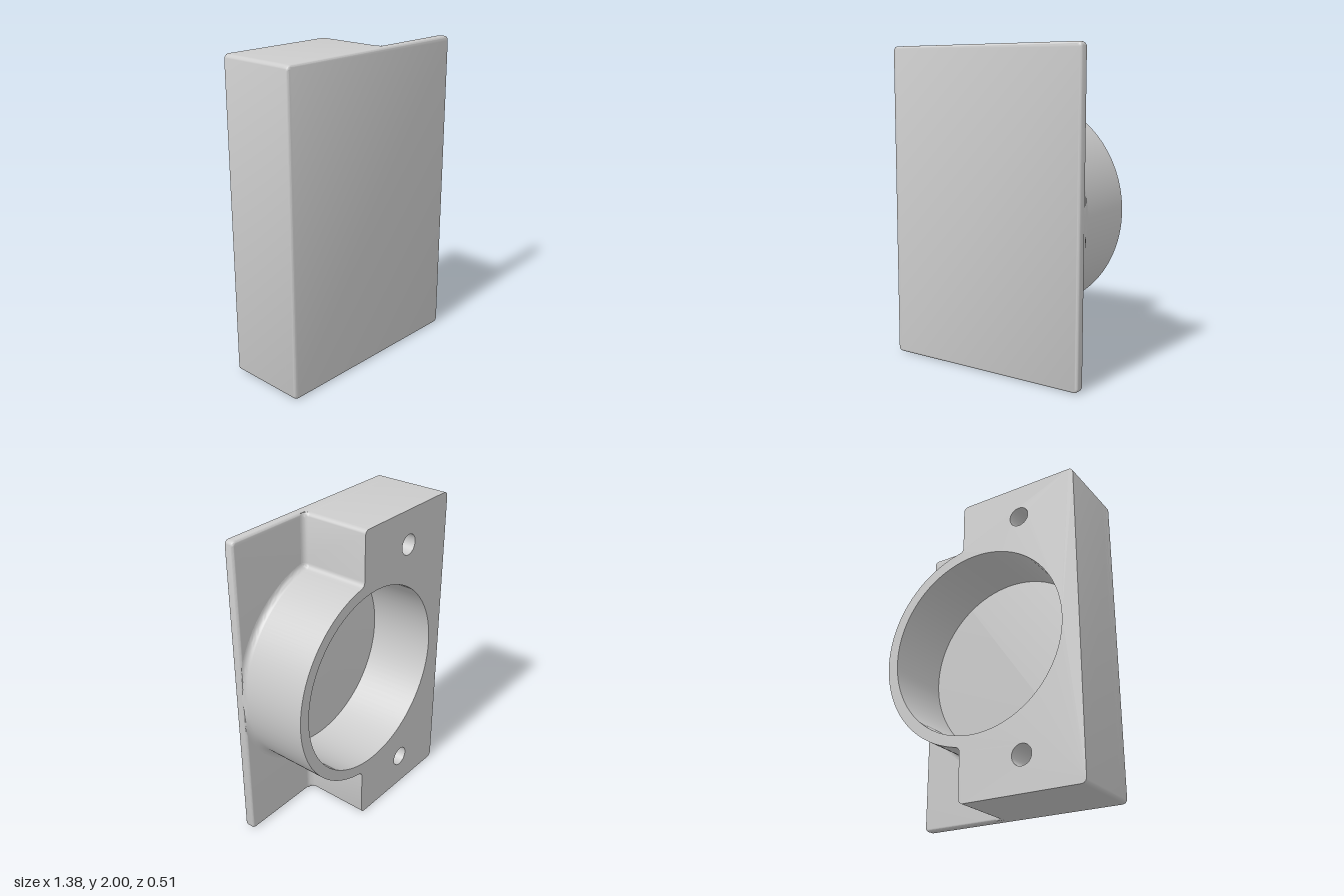
import * as THREE from 'three';
import { toCreasedNormals } from 'three/addons/utils/BufferGeometryUtils.js';

const HALF_W = 0.69, H = 2;             // plate outline
const Z_BACK = -0.255, Z_PLATE = 0.19, Z_FRONT = 0.255;
const WALL = 0.12;                      // inner side of the block
const CX = 0.02, CY = 1, R_OUT = 0.67, R_IN = 0.6; // cup
const CORNER = 0.03, FILLET = 0.035, BEVEL = 0.015;

function arc(cx, cy, r, a0, a1, n) {
  return Array.from({ length: n + 1 }, (_, i) => {
    const a = a0 + (a1 - a0) * i / n;
    return new THREE.Vector2(cx + r * Math.cos(a), cy + r * Math.sin(a));
  });
}

// Block joined to the cup, grown outwards by d and kept inside the plate
function outline(d) {
  const fx = WALL + FILLET;
  const fy = CY - Math.sqrt((R_OUT + FILLET) ** 2 - (fx - CX) ** 2);
  const start = Math.atan2(fy - CY, fx - CX);
  const lower = [
    ...arc(-HALF_W + CORNER, CORNER, CORNER, Math.PI, Math.PI * 1.5, 6),
    ...arc(WALL - CORNER, CORNER, CORNER + d, -Math.PI / 2, 0, 6),
    ...arc(fx, fy, Math.max(FILLET - d, 0.0005), Math.PI, start + Math.PI, 6),
    ...arc(CX, CY, R_OUT + d, start, 0, 40).slice(1),
  ];
  const upper = lower.slice(0, -1).reverse().map(p => new THREE.Vector2(p.x, H - p.y));
  return [...lower, ...upper].map(p => new THREE.Vector2(
    THREE.MathUtils.clamp(p.x, -HALF_W, HALF_W), THREE.MathUtils.clamp(p.y, 0, H)));
}

// Concave blend from the walls of the body out onto the plate
function blendGeometry() {
  const rows = 6, pos = [], idx = [];
  let n = 0;
  for (let j = 0; j <= rows; j++) {
    const t = j / rows * Math.PI / 2;
    const pts = outline(FILLET * (1 - Math.cos(t)));
    n = pts.length;
    const z = Z_PLATE - FILLET + FILLET * Math.sin(t);
    pts.forEach(p => pos.push(p.x, p.y, z));
  }
  for (let j = 0; j < rows; j++) for (let i = 0; i < n; i++) {
    const a = j * n + i, b = j * n + (i + 1) % n;
    idx.push(a, b, b + n, a, b + n, a + n);
  }
  const g = new THREE.BufferGeometry();
  g.setAttribute('position', new THREE.Float32BufferAttribute(pos, 3));
  g.setIndex(idx);
  return g;
}

export function createModel() {
  const group = new THREE.Group();
  const material = new THREE.MeshStandardMaterial({ color: 0xcccccc });
  const add = (name, geometry) => {
    const mesh = new THREE.Mesh(toCreasedNormals(geometry, 0.6), material);
    mesh.name = name;
    group.add(mesh);
  };

  // Front plate with softened edges
  const c = CORNER;
  const plate = new THREE.Shape([
    ...arc(-HALF_W + c, c, c, Math.PI, Math.PI * 1.5, 6),
    ...arc(HALF_W - c, c, c, -Math.PI / 2, 0, 6),
    ...arc(HALF_W - c, H - c, c, 0, Math.PI / 2, 6),
    ...arc(-HALF_W + c, H - c, c, Math.PI / 2, Math.PI, 6),
  ]);
  const plateGeo = new THREE.ExtrudeGeometry(plate, {
    depth: Z_FRONT - Z_PLATE - 2 * BEVEL,
    bevelThickness: BEVEL, bevelSize: BEVEL, bevelOffset: -BEVEL, bevelSegments: 4,
  });
  plateGeo.translate(0, 0, Z_PLATE + BEVEL);
  add('frontPlate', plateGeo);

  // Block and cup with the round pocket and two screw holes, sunk into the plate
  const body = new THREE.Shape(outline(0));
  const hole = (x, y, r, n) => body.holes.push(
    new THREE.Path(arc(x, y, r, 0, -Math.PI * 2, n).slice(0, -1)));
  hole(CX, CY, R_IN, 96);
  for (const y of [0.22, H - 0.22]) hole(-0.3, y, 0.065, 32);
  const bodyGeo = new THREE.ExtrudeGeometry(body, {
    depth: Z_FRONT - BEVEL - Z_BACK, bevelEnabled: false,
  });
  bodyGeo.translate(0, 0, Z_BACK);
  add('blockAndCup', bodyGeo);

  add('plateBlend', blendGeometry());
  return group;
}
